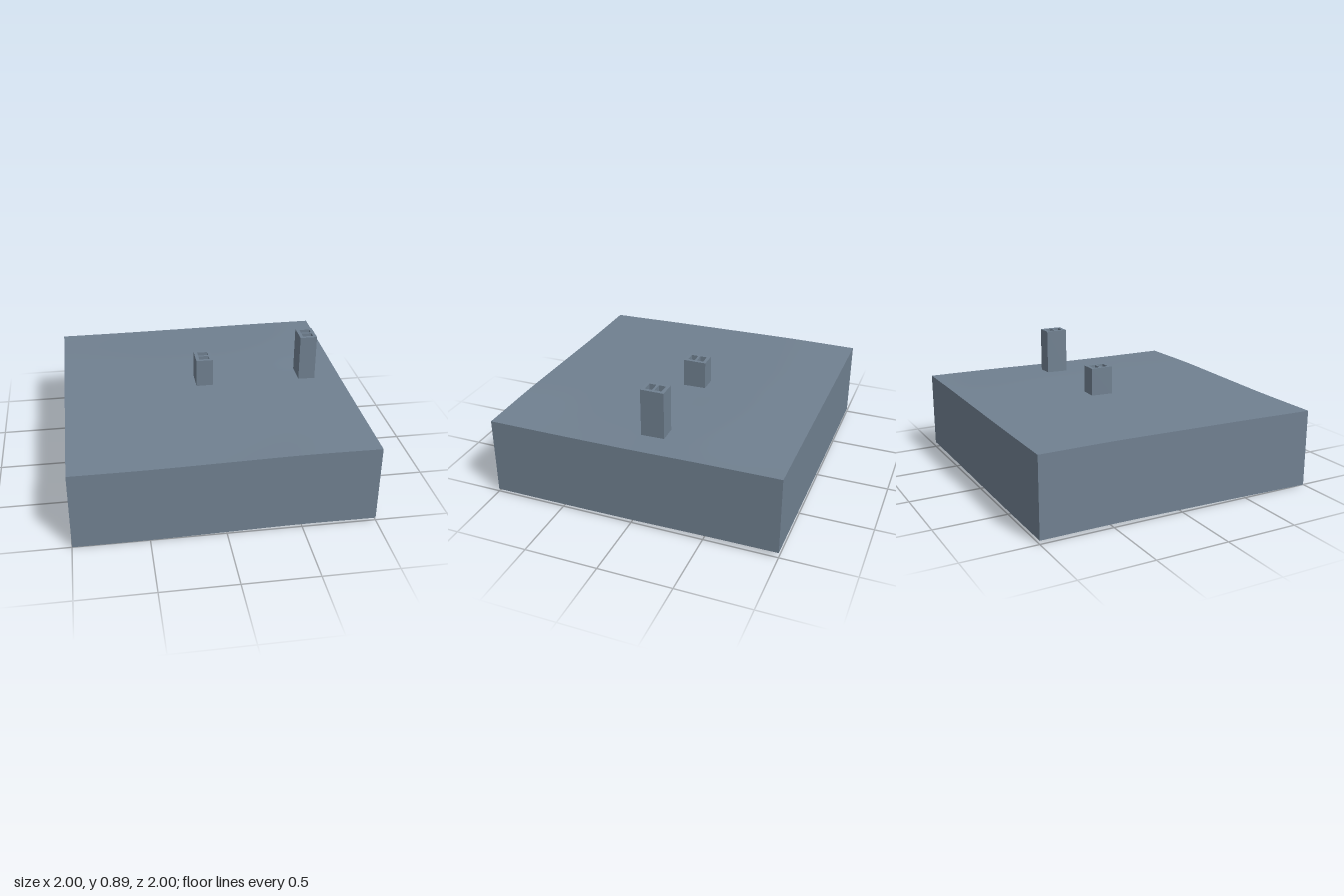
import * as THREE from 'three';

const WALL = 0.537; // wall height, the lower rim follows the roof line

// Roof heights at x, z = -1, -0.5, 0, 0.5, 1 (rows run from back to front)
const HEIGHTS = [
  [0.561, 0.562, 0.566, 0.571, 0.573],
  [0.562, 0.565, 0.573, 0.580, 0.568],
  [0.555, 0.556, 0.562, 0.566, 0.559],
  [0.547, 0.550, 0.555, 0.557, 0.555],
  [0.537, 0.538, 0.547, 0.556, 0.554],
];

// Smooth interpolation through five evenly spaced values, t in -1..1
function spline(v, t) {
  const u = (t + 1) * 2;
  const i = Math.min(3, Math.max(0, Math.floor(u)));
  const f = u - i;
  const at = (k) => v[Math.min(4, Math.max(0, k))];
  const [a, b, c, d] = [at(i - 1), at(i), at(i + 1), at(i + 2)];
  return b + 0.5 * f * (c - a + f * (2 * a - 5 * b + 4 * c - d + f * (3 * (b - c) + d - a)));
}
const roofHeight = (x, z) => spline(HEIGHTS.map((row) => spline(row, x)), z);

// Gently undulating roof sheet
function roofGeometry() {
  const g = new THREE.PlaneGeometry(2, 2, 24, 24).rotateX(-Math.PI / 2);
  const p = g.attributes.position;
  for (let i = 0; i < p.count; i++) p.setY(i, roofHeight(p.getX(i), p.getZ(i)));
  g.computeVertexNormals();
  return g;
}

// Outer wall whose upper and lower rims follow the roof edge
function wallGeometry(angle) {
  const g = new THREE.PlaneGeometry(2, 1, 24, 1).translate(0, 0.5, 1).rotateY(angle);
  const p = g.attributes.position;
  for (let i = 0; i < p.count; i++) {
    p.setY(i, roofHeight(p.getX(i), p.getZ(i)) - WALL * (1 - p.getY(i)));
  }
  return g;
}

// Rectangular stack with two open flues
function chimneyGeometry(height) {
  const w = 0.06, d = 0.08, rim = 0.024, web = 0.008;
  const rect = (path, x0, y0, x1, y1) =>
    path.moveTo(x0, y0).lineTo(x1, y0).lineTo(x1, y1).lineTo(x0, y1).closePath();
  const shape = new THREE.Shape();
  rect(shape, -w, -d, w, d);
  for (const [y0, y1] of [[-d + rim, -web], [web, d - rim]]) {
    const hole = new THREE.Path();
    rect(hole, -w + rim, y0, w - rim, y1);
    shape.holes.push(hole);
  }
  return new THREE.ExtrudeGeometry(shape, { depth: height, bevelEnabled: false }).rotateX(-Math.PI / 2);
}

export function createModel() {
  const model = new THREE.Group();
  model.name = 'flatRoofBlock';
  const slate = new THREE.MeshStandardMaterial({ color: 0x708090, side: THREE.DoubleSide });
  slate.name = 'slateGrey';

  const add = (name, geometry) => {
    const mesh = new THREE.Mesh(geometry, slate);
    mesh.name = name;
    model.add(mesh);
    return mesh;
  };

  add('roof', roofGeometry());
  ['frontWall', 'leftWall', 'backWall', 'rightWall'].forEach((name, i) =>
    add(name, wallGeometry((i * Math.PI) / 2)));

  // Chimneys start just inside the roof sheet
  const base = 0.56;
  for (const [name, x, top] of [['middleChimney', 0, 0.76], ['sideChimney', 0.75, 0.89]]) {
    add(name, chimneyGeometry(top - base)).position.set(x, base, -0.083);
  }
  return model;
}
